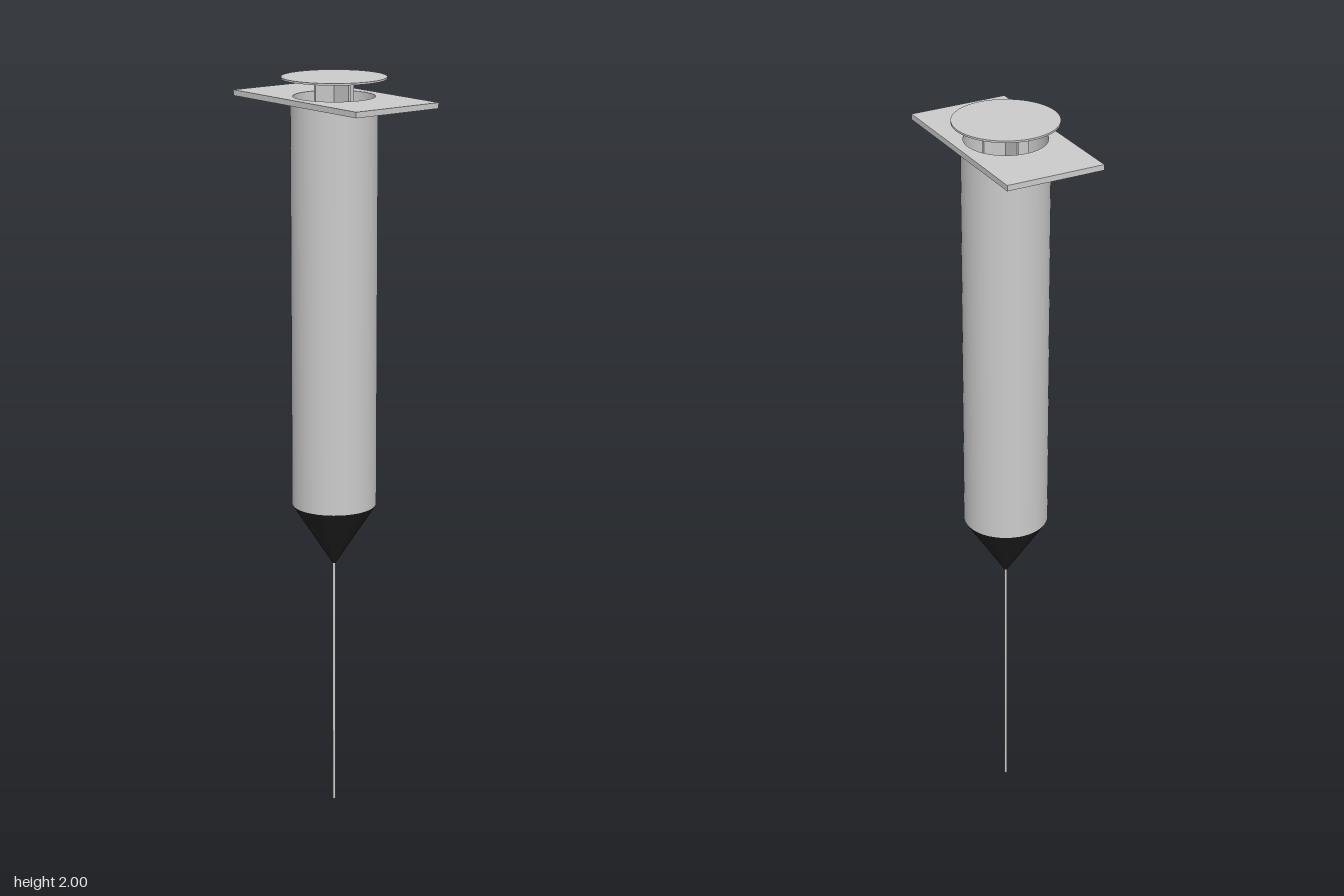
import * as THREE from 'three';

export function createModel() {
  const model = new THREE.Group();
  const grey = new THREE.MeshStandardMaterial({ color: 0xcccccc });
  const black = new THREE.MeshStandardMaterial({ color: 0x222222 });

  const add = (name, geometry, y, material = grey) => {
    const mesh = new THREE.Mesh(geometry, material);
    mesh.name = name;
    mesh.position.y = y;
    model.add(mesh);
    return mesh;
  };

  const outer = 0.113, inner = 0.106;      // barrel radii
  const barrelBottom = 0.86, flangeBottom = 1.935, flangeTop = 1.95;
  const coneTip = 0.685, capBottom = 1.995;
  const barrelHeight = flangeBottom - barrelBottom;

  // Hollow barrel: outer and inner walls
  add('barrel', new THREE.CylinderGeometry(outer, outer, barrelHeight, 64, 1, true),
    barrelBottom + barrelHeight / 2);
  const lining = new THREE.MeshStandardMaterial({ color: 0xcccccc, side: THREE.BackSide });
  add('barrelLining', new THREE.CylinderGeometry(inner, inner, barrelHeight, 64, 1, true),
    barrelBottom + barrelHeight / 2, lining);

  // Finger flange with a round opening for the plunger
  const plate = new THREE.Shape([[-1, -1], [1, -1], [1, 1], [-1, 1]]
    .map(([x, y]) => new THREE.Vector2(x * 0.255, y * 0.133)));
  plate.holes.push(new THREE.Path().absarc(0, 0, inner, 0, Math.PI * 2, true));
  const flange = new THREE.ExtrudeGeometry(plate,
    { depth: flangeTop - flangeBottom, bevelEnabled: false, curveSegments: 32 });
  flange.rotateX(-Math.PI / 2);
  add('fingerFlange', flange, flangeBottom);

  // Plunger: crossed fins, piston and thumb rest
  const rodBottom = 0.92, rodHeight = capBottom - rodBottom;
  for (const turn of [0, Math.PI / 2]) {
    add('plungerFin', new THREE.BoxGeometry(0.126, rodHeight, 0.006),
      rodBottom + rodHeight / 2).rotation.y = turn;
  }
  add('piston', new THREE.CylinderGeometry(0.104, 0.104, 0.06, 48), rodBottom - 0.03);
  add('thumbRest', new THREE.CylinderGeometry(0.136, 0.136, 2 - capBottom, 64),
    (2 + capBottom) / 2);

  // Dark conical nose, point down
  const nose = new THREE.ConeGeometry(outer, barrelBottom - coneTip, 64);
  nose.rotateX(Math.PI);
  add('nose', nose, (barrelBottom + coneTip) / 2, black);

  // Needle
  const needleTop = coneTip + 0.01;
  add('needle', new THREE.CylinderGeometry(0.004, 0.004, needleTop, 16), needleTop / 2);

  return model;
}
